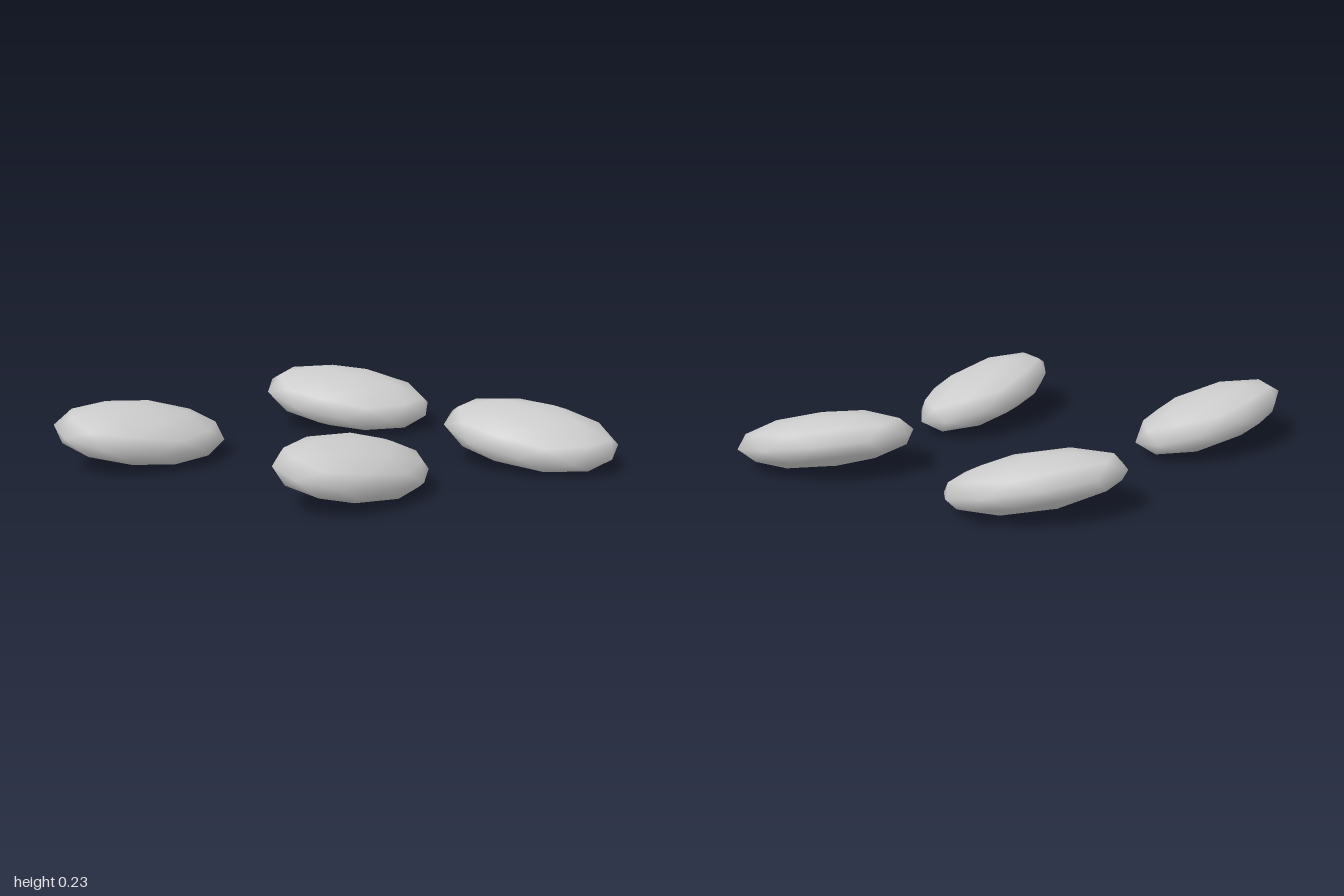
import * as THREE from 'three';

export function createModel() {
  const group = new THREE.Group();
  group.name = 'pebbles';
  const stoneGrey = new THREE.MeshStandardMaterial({ color: 0xcccccc });
  stoneGrey.name = 'stone grey';

  // Low-poly ball with a corner turned to the pole, then squashed into a pebble
  const pebble = new THREE.IcosahedronGeometry(1, 1);
  pebble.rotateZ(-Math.atan(2 / (1 + Math.sqrt(5))));
  pebble.scale(0.33, 0.1, 0.203);

  // Every pebble leans the same way; only place and heading differ: x, z, yaw
  const places = [
    ['leftPebble', 0.703, 0.2, -0.53],
    ['rightPebble', -0.685, -0.16, 0.24],
    ['frontPebble', -0.035, 0.46, 0.5],
    ['backPebble', 0.185, -0.492, -0.32],
  ];
  for (const [name, x, z, yaw] of places) {
    const mesh = new THREE.Mesh(pebble, stoneGrey);
    mesh.name = name;
    mesh.position.set(x, 0.114, z);
    mesh.rotation.set(0.19, yaw, -0.13, 'YZX');
    group.add(mesh);
  }
  return group;
}
